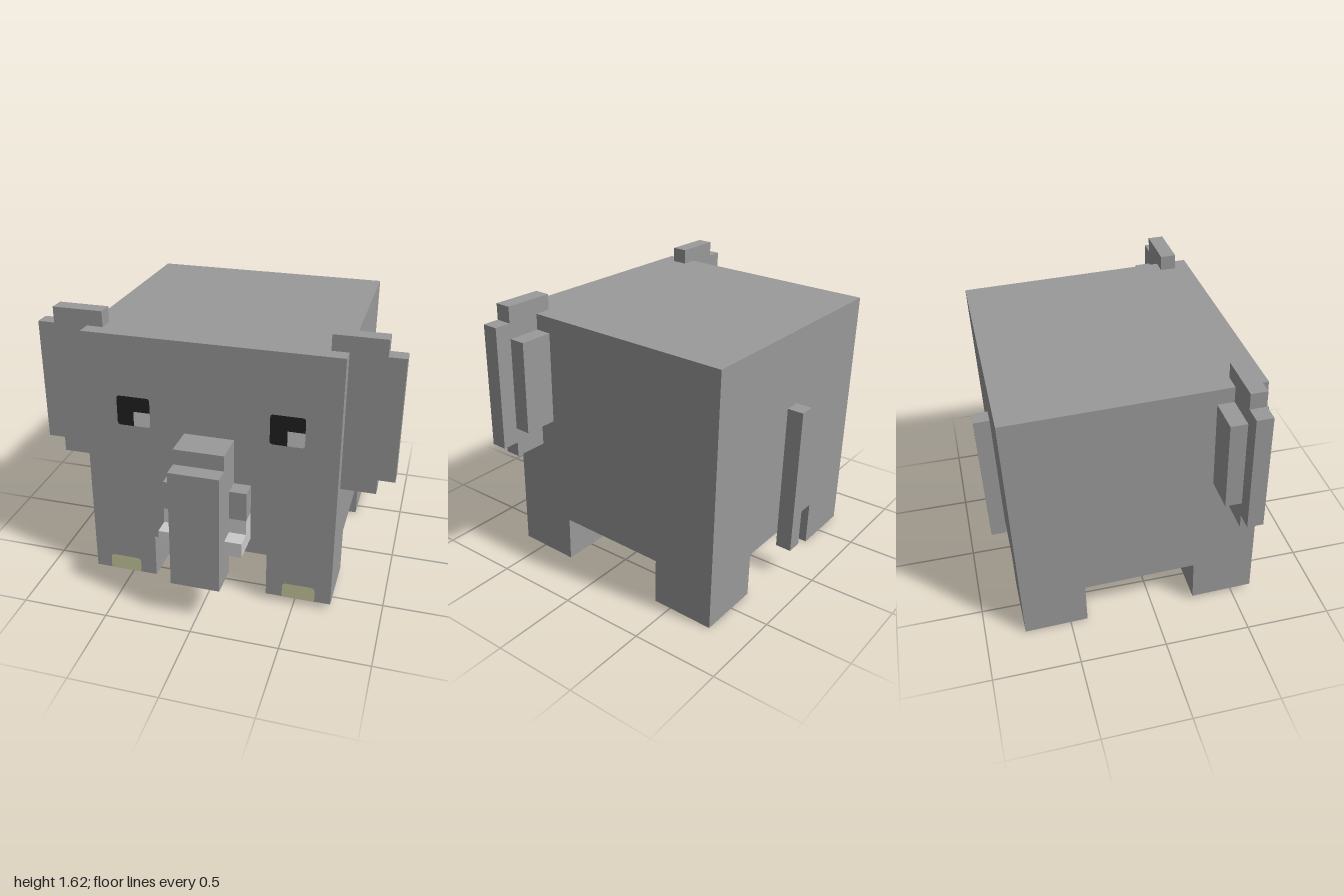
import * as THREE from 'three';

const mat = (name, color) => new THREE.MeshStandardMaterial({ name, color });

export function createModel() {
  const hide = mat('greyHide', 0x9a9a9a);
  const ivory = mat('ivory', 0xcbcbcb);
  const nail = mat('toenail', 0xcbcba2);
  const black = mat('eyeBlack', 0x222222);

  // Whole animal leans back slightly, resting on its rear feet;
  // inside this group z runs from 0 (rump) to FRONT (face).
  const animal = new THREE.Group();
  animal.name = 'elephant';
  animal.position.z = -0.77;
  animal.rotation.x = -0.0262;
  const FRONT = 1.385;

  // Box given by its min and max on each axis
  function box(name, material, [x0, x1], [y0, y1], [z0, z1]) {
    const mesh = new THREE.Mesh(new THREE.BoxGeometry(x1 - x0, y1 - y0, z1 - z0), material);
    mesh.position.set((x0 + x1) / 2, (y0 + y1) / 2, (z0 + z1) / 2);
    mesh.name = name;
    animal.add(mesh);
  }

  // Flat painted patch from corner points [x, y, radius]
  function patch(name, material, points) {
    const shape = new THREE.Shape();
    points.forEach(([x, y, r], i) => {
      const p = new THREE.Vector2(x, y);
      const towards = ([a, b]) => new THREE.Vector2(a, b).sub(p).setLength(r).add(p);
      const a = r ? towards(points.at(i - 1)) : p;
      const b = r ? towards(points[(i + 1) % points.length]) : p;
      if (i) shape.lineTo(a.x, a.y); else shape.moveTo(a.x, a.y);
      if (r) shape.quadraticCurveTo(x, y, b.x, b.y);
    });
    shape.closePath();
    const mesh = new THREE.Mesh(new THREE.ShapeGeometry(shape, 4), material);
    mesh.name = name;
    animal.add(mesh);
    return mesh;
  }

  // Body and tail
  box('body', hide, [-0.712, 0.712], [0.268, 1.5], [0, FRONT]);
  box('tail', hide, [-0.047, 0.047], [0.178, 1.06], [-0.095, 0]);

  // Trunk: root on the face, then the hanging part
  box('trunkRoot', hide, [-0.14, 0.14], [0.705, 0.97], [FRONT, 1.575]);
  box('trunk', hide, [-0.14, 0.14], [0.181, 0.881], [1.48, 1.67]);

  for (const s of [-1, 1]) {
    const side = s > 0 ? 'left' : 'right';
    const span = (a, b) => (s > 0 ? [a, b] : [-b, -a]);

    // Legs with toenails that wrap from the front under the foot
    for (const [part, z0, z1] of [['Front', 1.02, FRONT], ['Back', 0, 0.37]]) {
      box(`${side}${part}Leg`, hide, span(0.335, 0.712), [0, 0.268], [z0, z1]);
      const [a, b] = span(0.43, 0.62);
      const outline = (h) => [[a, 0, 0], [b, 0, 0], [b, h, 0.025], [a, h, 0.025]];
      patch(`${side}${part}Toenail`, nail, outline(0.094)).position.z = z1 + 0.002;
      const sole = patch(`${side}${part}ToenailUnderside`, nail, outline(0.085).map(([x, y, r]) => [x, -y, r]).reverse());
      sole.rotation.x = Math.PI / 2;
      sole.position.set(0, -0.002, z1);
    }

    // Ear: main slab, outer rim and raised back
    box(`${side}Ear`, hide, span(0.62, 0.905), [0.712, 1.588], [1.207, 1.297]);
    box(`${side}EarRim`, hide, span(0.905, 1), [0.797, 1.497], [1.207, 1.297]);
    box(`${side}EarBack`, hide, span(0.712, 0.905), [0.885, 1.41], [1.115, 1.207]);

    // Tusk: grey socket, ivory shaft and forward tip
    box(`${side}TuskSocket`, hide, span(0.14, 0.238), [0.535, 0.705], [FRONT, 1.48]);
    box(`${side}Tusk`, ivory, span(0.14, 0.238), [0.358, 0.535], [FRONT, 1.48]);
    box(`${side}TuskTip`, ivory, span(0.14, 0.238), [0.358, 0.446], [1.48, 1.575]);

    // Eye: black L shape with a light lower corner, same way round on both sides
    const [x0, x1] = span(0.335, 0.525);
    const xm = (x0 + x1) / 2, y0 = 0.976, ym = 1.063, y1 = 1.15, r = 0.018;
    patch(`${side}Eye`, black, [
      [x0, y0, r], [xm, y0, 0], [xm, ym, 0], [x1, ym, 0], [x1, y1, r], [x0, y1, r],
    ]).position.z = FRONT + 0.002;
    patch(`${side}EyeGlint`, ivory, [
      [xm, y0, r], [x1, y0, r], [x1, ym, 0], [xm, ym, 0],
    ]).position.z = FRONT + 0.002;
  }

  const model = new THREE.Group();
  model.name = 'blockElephant';
  model.add(animal);
  return model;
}
